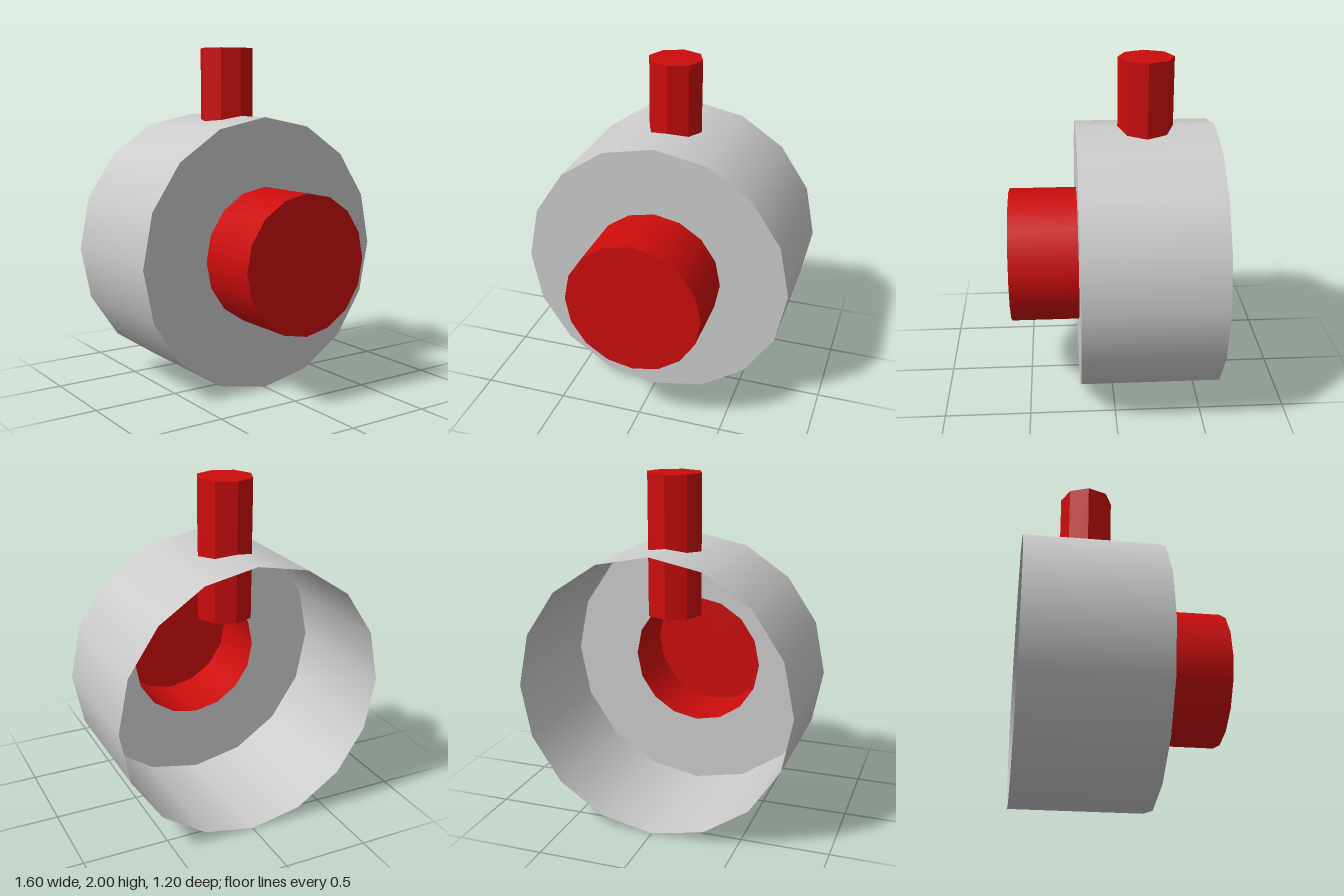
import * as THREE from 'three';

export function createModel() {
  const model = new THREE.Group();
  const material = (name, color, extra = {}) =>
    new THREE.MeshStandardMaterial({ name, color, side: THREE.DoubleSide, ...extra });
  const grey = material('grey', 0xcccccc);
  const red = material('red', 0xcc0c0c);
  const facetedRed = material('red faceted', 0xcc0c0c, { flatShading: true });

  const add = (name, geometry, mat, y, z) => {
    const mesh = new THREE.Mesh(geometry, mat);
    mesh.name = name;
    mesh.position.set(0, y, z);
    model.add(mesh);
  };
  // Open tube running along z, with corners on the x and y axes
  const tube = (radius, length) =>
    new THREE.CylinderGeometry(radius, radius, length, 16, 1, true).rotateX(Math.PI / 2);

  // Drum: open at the back, front wall pierced where the nose joins
  add('drumWall', tube(0.8, 0.8), grey, 0.8, -0.2);
  add('drumFront', new THREE.RingGeometry(0.4, 0.8, 16), grey, 0.8, 0.2);

  // Hollow nose, closed at its front end
  add('noseWall', tube(0.4, 0.4), red, 0.8, 0.4);
  add('noseCap', new THREE.CircleGeometry(0.4, 16), red, 0.8, 0.6);

  // Eight-sided stem passing through the drum wall, open at its lower end
  add('stemWall', new THREE.CylinderGeometry(0.16, 0.16, 0.8, 8, 1, true), facetedRed, 1.6, -0.2);
  add('stemCap', new THREE.CircleGeometry(0.16, 8).rotateX(-Math.PI / 2), red, 2, -0.2);

  return model;
}
